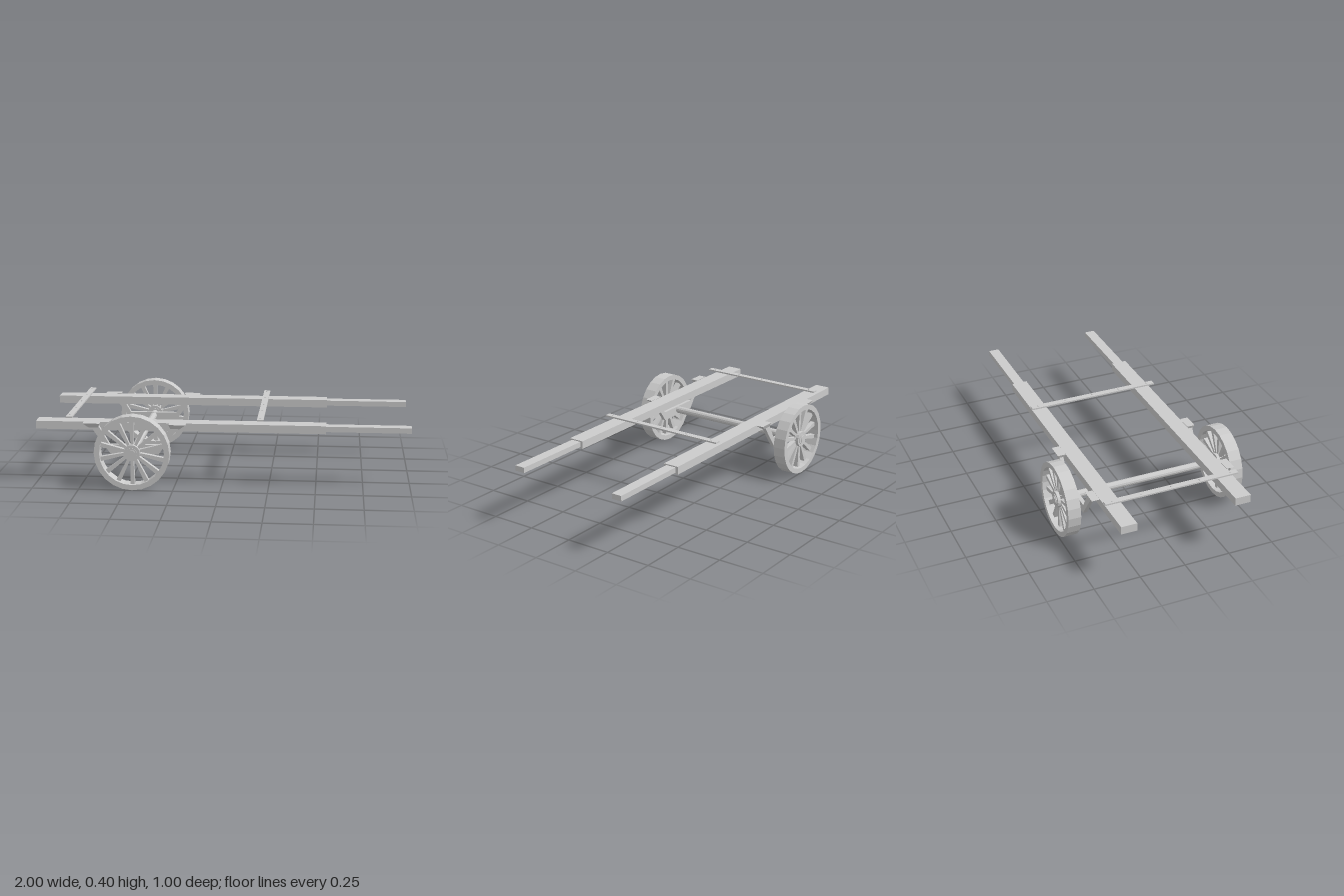
import * as THREE from 'three';

const AXLE_X = -0.465, AXLE_Y = 0.2;

function createMaterial() {
  return new THREE.MeshStandardMaterial({ color: 0xcccccc, flatShading: true });
}

export function createModel() {
  const cart = new THREE.Group();
  cart.name = 'handcart';
  const material = createMaterial();

  function add(parent, name, geometry, x = 0, y = 0, z = 0) {
    const mesh = new THREE.Mesh(geometry, material);
    mesh.name = name;
    mesh.position.set(x, y, z);
    parent.add(mesh);
    return mesh;
  }

  // Box given by its minimum and maximum corners
  function addBox(parent, name, [x0, y0, z0], [x1, y1, z1]) {
    return add(parent, name, new THREE.BoxGeometry(x1 - x0, y1 - y0, z1 - z0),
      (x0 + x1) / 2, (y0 + y1) / 2, (z0 + z1) / 2);
  }

  // Cylinder lying along z
  function zCylinder(radius, length, sides) {
    return new THREE.CylinderGeometry(radius, radius, length, sides).rotateX(Math.PI / 2);
  }

  // Flat outline in x and y, given thickness centred on z = 0
  function plate(points, depth) {
    const shape = new THREE.Shape(points.map(([x, y]) => new THREE.Vector2(x, y)));
    return new THREE.ExtrudeGeometry(shape, { depth, bevelEnabled: false }).translate(0, 0, -depth / 2);
  }

  // Spoked wheel: rectangular rim section, tapered spokes, stepped hub
  function createWheel() {
    const wheel = new THREE.Group();
    wheel.name = 'wheel';
    const profile = [[0.172, -0.035], [0.2, -0.035], [0.2, 0.035], [0.172, 0.035], [0.172, -0.035]];
    const rim = new THREE.LatheGeometry(profile.map(([r, h]) => new THREE.Vector2(r, h)), 24);
    add(wheel, 'rim', rim.rotateX(Math.PI / 2));
    add(wheel, 'hub', zCylinder(0.044, 0.058, 16));
    add(wheel, 'hubCap', zCylinder(0.03, 0.066, 16));
    const spoke = plate([[-0.007, 0.035], [0.007, 0.035], [0.012, 0.176], [-0.012, 0.176]], 0.026);
    const count = 14;
    for (let i = 0; i < count; i++) {
      add(wheel, 'spoke', spoke).rotation.z = i / count * Math.PI * 2;
    }
    return wheel;
  }

  // Axle support: low bar, sloping struts and flared mounting feet
  function createBracket() {
    const bracket = new THREE.Group();
    bracket.name = 'axleBracket';
    add(bracket, 'bracketBar', plate([[-0.13, -0.03], [0.13, -0.03], [0.15, 0.02], [-0.15, 0.02]], 0.022));
    for (const s of [-1, 1]) {
      const strut = [[0.105, -0.03], [0.13, -0.03], [0.235, 0.118], [0.19, 0.118]];
      const points = strut.map(([x, y]) => [x * s, y]);
      add(bracket, 'bracketStrut', plate(points, 0.022));
      const foot = new THREE.BoxGeometry(0.09, 0.024, 0.044);
      const p = foot.attributes.position;
      for (let i = 0; i < p.count; i++) {
        if (p.getY(i) < 0) p.setXYZ(i, p.getX(i) * 0.55 - s * 0.012, p.getY(i), p.getZ(i) * 0.5);
      }
      foot.computeVertexNormals();
      add(bracket, 'bracketFoot', foot, s * 0.23, 0.122, 0);
    }
    return bracket;
  }

  // Both sides: beam, handle, bracket and wheel
  for (const s of [-1, 1]) {
    const side = new THREE.Group();
    side.name = s > 0 ? 'frontSide' : 'backSide';
    cart.add(side);
    const z = s * 0.313;
    addBox(side, 'beam', [-1, 0.29, z - 0.043], [0.55, 0.333, z + 0.043]);
    addBox(side, 'handle', [0.54, 0.298, z - 0.029], [1, 0.327, z + 0.029]);
    const bracket = createBracket();
    bracket.position.set(AXLE_X, AXLE_Y, s * 0.379);
    const wheel = createWheel();
    wheel.position.set(AXLE_X, AXLE_Y, s * 0.463);
    side.add(bracket, wheel);
  }

  // Axle through both hubs
  add(cart, 'axle', zCylinder(0.02, 1, 12), AXLE_X, AXLE_Y, 0);

  // Thin cross bars with nail heads
  for (const x of [-0.817, 0.203]) {
    addBox(cart, 'crossBar', [x - 0.017, 0.356, -0.367], [x + 0.017, 0.364, 0.373]);
    for (const z of [-0.325, -0.165, 0, 0.16, 0.335]) {
      add(cart, 'nailHead', new THREE.CylinderGeometry(0.005, 0.006, 0.004, 8), x, 0.365, z);
    }
  }
  return cart;
}
